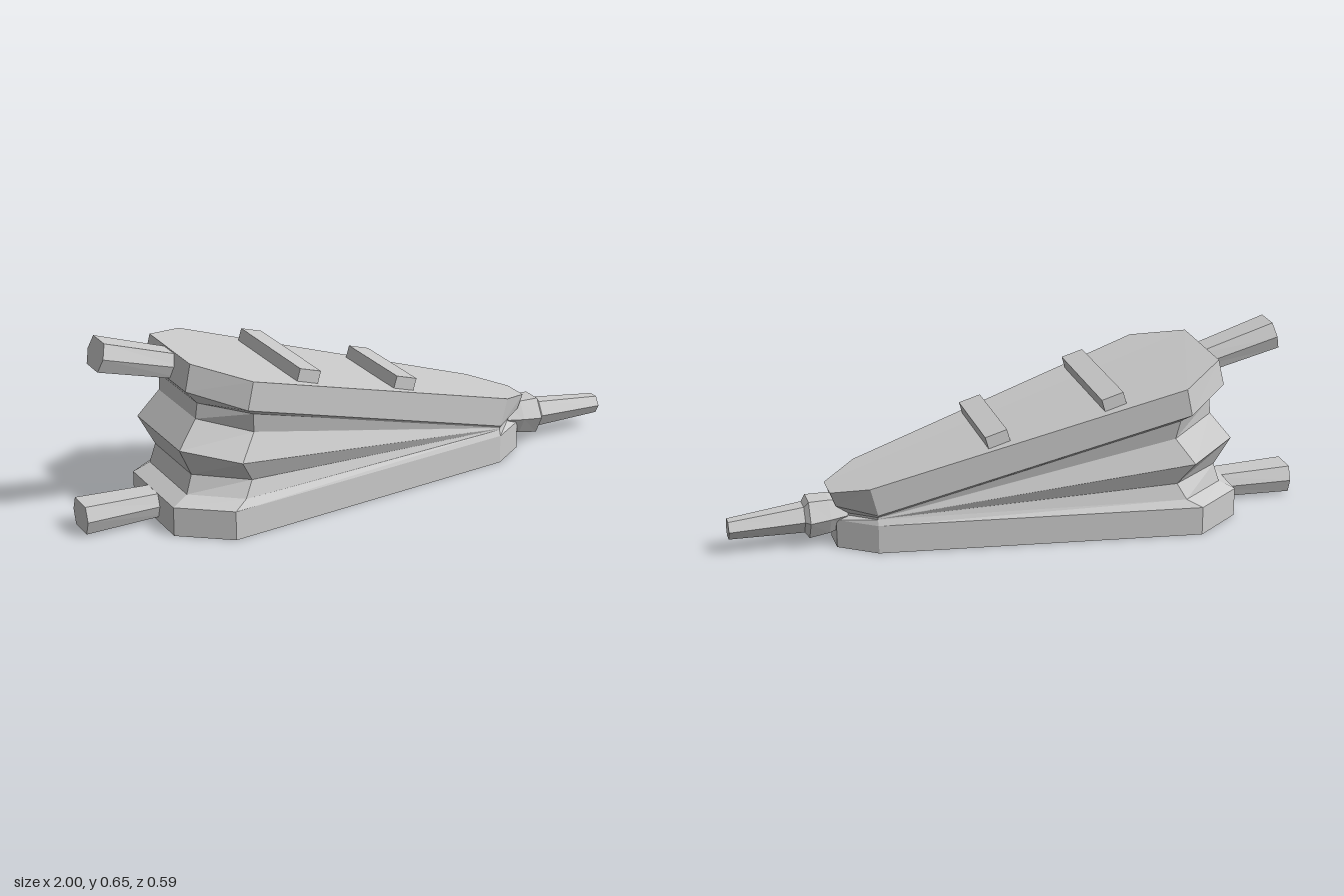
import * as THREE from 'three';

const material = new THREE.MeshStandardMaterial({ color: 0xcccccc, flatShading: true });

// Solid through a stack of equal-sized rings, closed at both ends
function loft(name, rings) {
  const n = rings[0].length, pos = [];
  const tri = (a, b, c) => pos.push(...a, ...b, ...c);
  for (let r = 0; r < rings.length - 1; r++) {
    const a = rings[r], b = rings[r + 1];
    for (let i = 0; i < n; i++) {
      const j = (i + 1) % n;
      tri(a[i], a[j], b[j]);
      tri(a[i], b[j], b[i]);
    }
  }
  const first = rings[0], last = rings[rings.length - 1];
  for (let i = 1; i < n - 1; i++) {
    tri(first[0], first[i + 1], first[i]);
    tri(last[0], last[i], last[i + 1]);
  }
  const g = new THREE.BufferGeometry();
  g.setAttribute('position', new THREE.Float32BufferAttribute(pos, 3));
  g.computeVertexNormals();
  const mesh = new THREE.Mesh(g, material);
  mesh.name = name;
  return mesh;
}

// Eight-sided outline: back, side, front and tip corners, mirrored across z
function outline(...half) {
  return [...half, ...half.map(([x, y, z]) => [x, y, -z]).reverse()];
}

// Six-sided section across x: half height h, flat half width w, full half width W
function hex(x, y, h, w, W) {
  return [[h, -w], [h, w], [0, W], [-h, w], [-h, -w], [0, -W]].map(([dy, z]) => [x, y + dy, z]);
}

export function createModel() {
  const group = new THREE.Group();
  const slope = -Math.atan2(0.38, 1.33);

  const base = y => outline([-0.745, y, 0.17], [-0.58, y, 0.295], [0.515, y, 0.14], [0.64, y, 0.05]);
  // Bellows folds all meet at the nozzle end
  const fold = (back, side, lift) =>
    outline(back, side, [0.515, 0.12 + lift, 0.132], [0.6, 0.112 + lift, 0.048]);
  const seat = fold([-0.69, 0.13, 0.155], [-0.53, 0.125, 0.268], 0);
  const rim = fold([-0.645, 0.44, 0.155], [-0.5, 0.415, 0.268], 0.008);
  const upperEdge = outline([-0.69, 0.49, 0.168], [-0.53, 0.44, 0.295], [0.515, 0.137, 0.14], [0.64, 0.15, 0.05]);
  const upperTop = outline([-0.67, 0.58, 0.165], [-0.51, 0.535, 0.295], [0.54, 0.235, 0.14], [0.66, 0.2, 0.05]);

  group.add(loft('lowerBoard', [base(0), base(0.1), seat]));
  group.add(loft('bellows', [
    seat,
    fold([-0.67, 0.195, 0.15], [-0.5, 0.18, 0.25], 0.002),
    fold([-0.72, 0.295, 0.175], [-0.55, 0.26, 0.29], 0.004),
    fold([-0.65, 0.385, 0.15], [-0.49, 0.345, 0.25], 0.006),
    rim,
  ]));
  group.add(loft('upperBoard', [rim, upperEdge, upperTop]));

  // Nozzle with a wider collar
  group.add(loft('nozzle', [
    hex(0.6, 0.113, 0.045, 0.028, 0.055),
    hex(0.66, 0.109, 0.06, 0.035, 0.067),
    hex(0.73, 0.104, 0.065, 0.037, 0.073),
    hex(0.745, 0.103, 0.046, 0.027, 0.053),
    hex(1, 0.09, 0.031, 0.018, 0.036),
  ]));

  // Handles
  group.add(loft('lowerHandle', [
    hex(-1, 0.058, 0.048, 0.047, 0.066),
    hex(-0.69, 0.058, 0.04, 0.04, 0.054),
  ]));
  const upperHandle = loft('upperHandle', [
    hex(-0.285, 0, 0.048, 0.047, 0.066),
    hex(0.03, 0, 0.04, 0.04, 0.054),
  ]);
  upperHandle.position.set(-0.65, 0.527, 0);
  upperHandle.rotation.z = slope;
  group.add(upperHandle);

  // Raised slats lying on the sloping board
  for (const [name, x, width] of [['backSlat', -0.28, 0.45], ['frontSlat', 0.108, 0.345]]) {
    const slat = new THREE.Mesh(new THREE.BoxGeometry(0.078, 0.06, width), material);
    slat.name = name;
    slat.position.set(x, 0.58 - (x + 0.67) * 0.2857 + 0.014, 0);
    slat.rotation.z = slope;
    group.add(slat);
  }
  return group;
}
